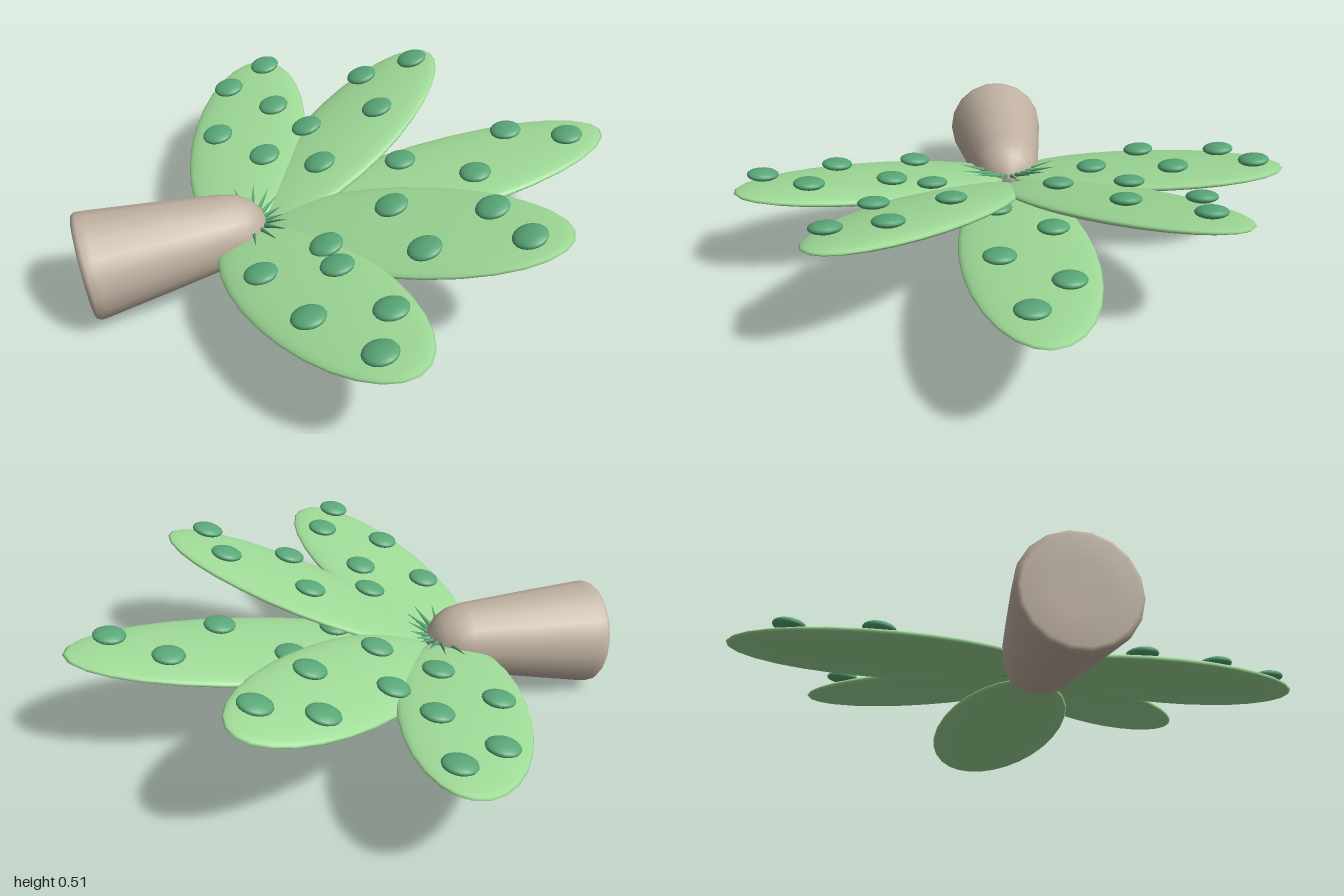
import * as THREE from 'three';

const material = (name, color) => {
  const m = new THREE.MeshStandardMaterial({ color });
  m.name = name;
  return m;
};

// Each leaf: angle, half length, half width, centre, slope along x and z, spot positions (x, z)
const LEAVES = [
  { name: 'middleLeaf', angle: 0, a: 0.645, b: 0.227, c: [0.325, 0.31, 0], g: [0.14, 0],
    spots: [[0.22, -0.1], [0.63, -0.095], [0.81, 0.04], [0.43, 0.1], [0.02, 0.075]] },
  { name: 'backDiagonalLeaf', angle: -40, a: 0.53, b: 0.215, c: [0.106, 0.355, -0.345], g: [0.28, 0],
    spots: [[0.23, -0.6], [0.43, -0.575], [0.21, -0.345], [-0.05, -0.41], [-0.07, -0.155]] },
  { name: 'frontDiagonalLeaf', angle: 40, a: 0.53, b: 0.215, c: [0.106, 0.355, 0.345], g: [0.28, 0],
    spots: [[0.07, 0.235], [-0.175, 0.295], [0.09, 0.5], [0.34, 0.445], [0.38, 0.64]] },
  { name: 'backLeaf', angle: -72.5, a: 0.52, b: 0.22, c: [-0.26, 0.292, -0.5], g: [0.165, -0.077],
    spots: [[-0.27, -0.795], [-0.1, -0.88], [-0.135, -0.59], [-0.375, -0.51], [-0.24, -0.305]] },
  { name: 'frontLeaf', angle: 72.5, a: 0.52, b: 0.22, c: [-0.26, 0.292, 0.5], g: [0.165, 0.077],
    spots: [[-0.41, 0.355], [-0.33, 0.645], [-0.1, 0.73], [-0.19, 0.9], [-0.18, 0.44]] },
];

// Flattened ball lying in a sloping plane
function disc(center, angle, a, t, b, [gx, gz], segments, rings) {
  const c = Math.cos(angle), s = Math.sin(angle);
  const m = new THREE.Matrix4().makeBasis(
    new THREE.Vector3(c, gx * c + gz * s, s).multiplyScalar(a),
    new THREE.Vector3(-gx, 1, -gz).normalize().multiplyScalar(t),
    new THREE.Vector3(-s, -gx * s + gz * c, c).multiplyScalar(b),
  ).setPosition(...center);
  return new THREE.SphereGeometry(1, segments, rings).applyMatrix4(m);
}

export function createModel() {
  const root = new THREE.Group();
  root.name = 'palmBranch';
  const bark = material('bark', 0xc2b3a3);
  const leafGreen = material('leafGreen', 0xa0dc98);
  const spotGreen = material('spotGreen', 0x5aa878);

  const add = (parent, name, geometry, mat) => {
    const mesh = new THREE.Mesh(geometry, mat);
    mesh.name = name;
    parent.add(mesh);
    return mesh;
  };

  // Tapered stem with a rounded tip, lying on its side
  const profile = [[0, 0], [0.09, 0], [0.17, 0], [0.183, 0.005], [0.19, 0.018], [0.188, 0.045],
    [0.155, 0.3], [0.126, 0.51], [0.113, 0.56], [0.085, 0.605], [0.045, 0.635], [0, 0.645]]
    .map(([r, y]) => new THREE.Vector2(r, y));
  const stem = add(root, 'stem', new THREE.LatheGeometry(profile, 18), bark);
  stem.rotation.z = -1.47;
  stem.position.set(-0.95, 0.19, 0);

  // Leaves with their raised spots
  for (const leaf of LEAVES) {
    const group = new THREE.Group();
    group.name = leaf.name;
    root.add(group);
    const [cx, cy, cz] = leaf.c, [gx, gz] = leaf.g;
    const angle = THREE.MathUtils.degToRad(leaf.angle);
    add(group, 'blade', disc(leaf.c, angle, leaf.a, 0.033, leaf.b, leaf.g, 28, 18), leafGreen);
    for (const [x, z] of leaf.spots) {
      const y = cy + gx * (x - cx) + gz * (z - cz) + 0.05;
      add(group, 'spot', disc([x, y, z], 0, 0.056, 0.02, 0.056, leaf.g, 20, 10), spotGreen);
    }
  }

  // Small spikes fanning out where the leaves meet the stem
  const spikes = new THREE.Group();
  spikes.name = 'spikes';
  root.add(spikes);
  const up = new THREE.Vector3(0, 1, 0);
  const fan = [[12, 0.12, 0.3], [35, 0.14, 0.35], [55, 0.17, 0.3], [75, 0.19, 0.25], [98, 0.19, 0.2],
    [62, 0.15, -0.15], [88, 0.17, -0.12]];
  for (const side of [-1, 1]) {
    for (const [deg, length, lift] of fan) {
      const t = THREE.MathUtils.degToRad(deg) * side;
      const dir = new THREE.Vector3(Math.cos(t), lift, Math.sin(t)).normalize();
      const spike = add(spikes, 'spike', new THREE.ConeGeometry(0.014, length, 6), spotGreen);
      spike.quaternion.setFromUnitVectors(up, dir);
      spike.position.set(-0.36, 0.25, 0).addScaledVector(dir, length / 2);
    }
  }
  return root;
}
